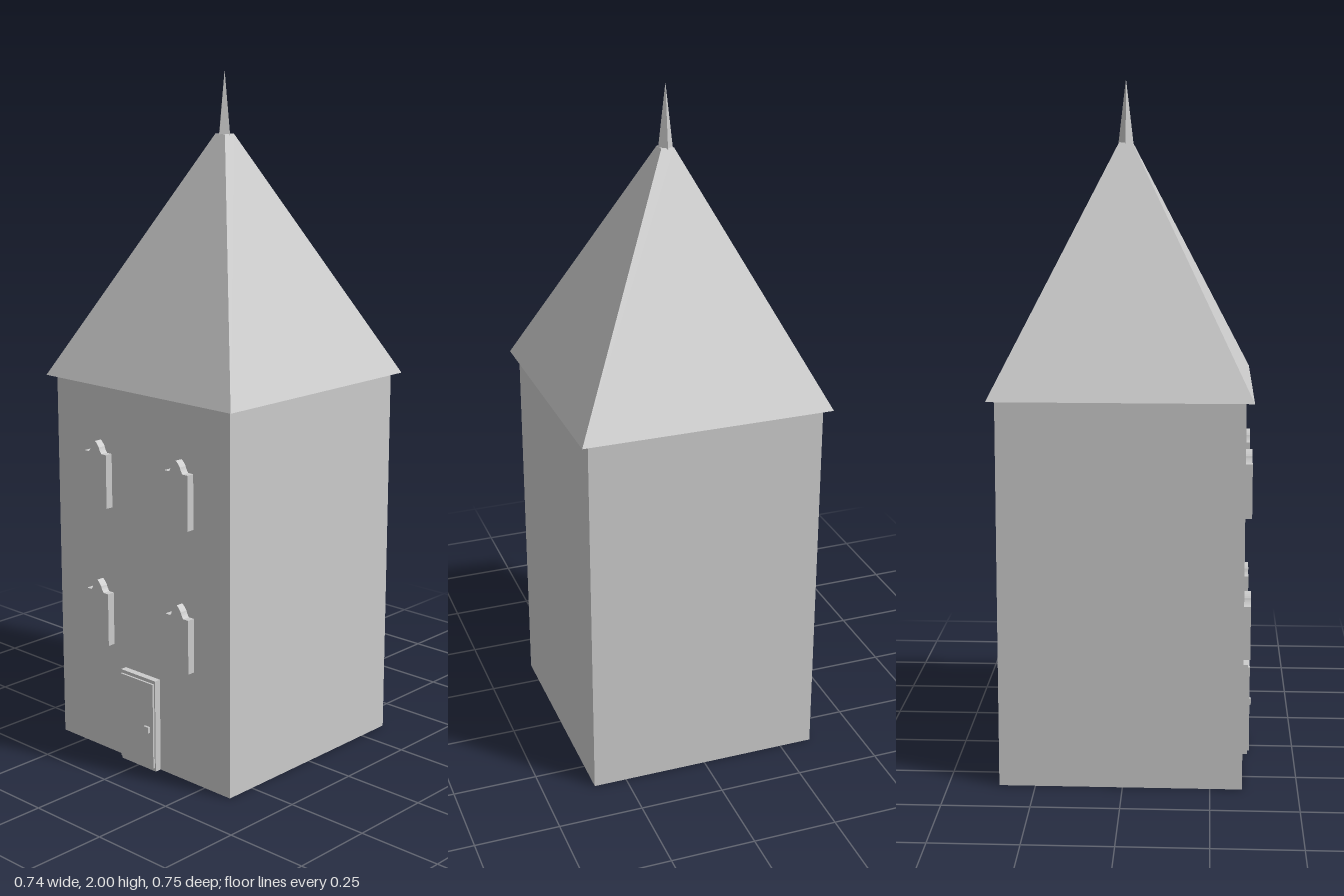
import * as THREE from 'three';

export function createModel() {
  const group = new THREE.Group();
  group.name = 'tower';
  const stone = new THREE.MeshStandardMaterial({ color: 0xcccccc, flatShading: true });
  stone.name = 'light grey';

  const add = (name, geometry, x, y, z) => {
    const mesh = new THREE.Mesh(geometry, stone);
    mesh.name = name;
    mesh.position.set(x, y, z);
    group.add(mesh);
    return mesh;
  };
  // Box given by its base height and the z of its back and front
  const box = (name, w, h, x, base, back, front) =>
    add(name, new THREE.BoxGeometry(w, h, front - back), x, base + h / 2, (back + front) / 2);

  const midZ = -0.006, wallZ = 0.342;
  box('walls', 0.696, 1.12, 0, 0, -0.354, wallZ);

  // Pyramid roof, cut off just below the spire
  const roof = new THREE.CylinderGeometry(0.019 * Math.SQRT2, 0.3705 * Math.SQRT2, 0.7, 4);
  roof.rotateY(Math.PI / 4);
  add('roof', roof, 0, 1.47, midZ);

  // Spire, turned so that its corners point along the axes
  add('spire', new THREE.ConeGeometry(0.022, 0.185, 4), 0, 1.9075, midZ);

  // Windows with a small curved gable on narrow shoulders
  const w = 0.045, h = 0.16;
  const shape = new THREE.Shape();
  shape.moveTo(-w, 0);
  shape.lineTo(w, 0);
  shape.lineTo(w, h);
  shape.lineTo(0.026, h);
  shape.quadraticCurveTo(0.019, h + 0.008, 0.016, h + 0.018);
  shape.quadraticCurveTo(0.009, h + 0.029, 0, h + 0.035);
  shape.quadraticCurveTo(-0.009, h + 0.029, -0.016, h + 0.018);
  shape.quadraticCurveTo(-0.019, h + 0.008, -0.026, h);
  shape.lineTo(-w, h);
  shape.closePath();
  const windowGeometry = new THREE.ExtrudeGeometry(shape, { depth: 0.023, bevelEnabled: false, curveSegments: 4 });
  for (const y of [0.34, 0.76]) {
    for (const side of [-1, 1]) add('window', windowGeometry, side * 0.164, y, wallZ);
  }

  // Door with a raised panel and a knob
  box('doorFrame', 0.142, 0.28, 0, 0, wallZ, 0.362);
  box('doorPanel', 0.134, 0.26, 0, 0.01, 0.362, 0.368);
  box('doorKnob', 0.02, 0.018, 0.044, 0.118, 0.368, 0.375);

  return group;
}
